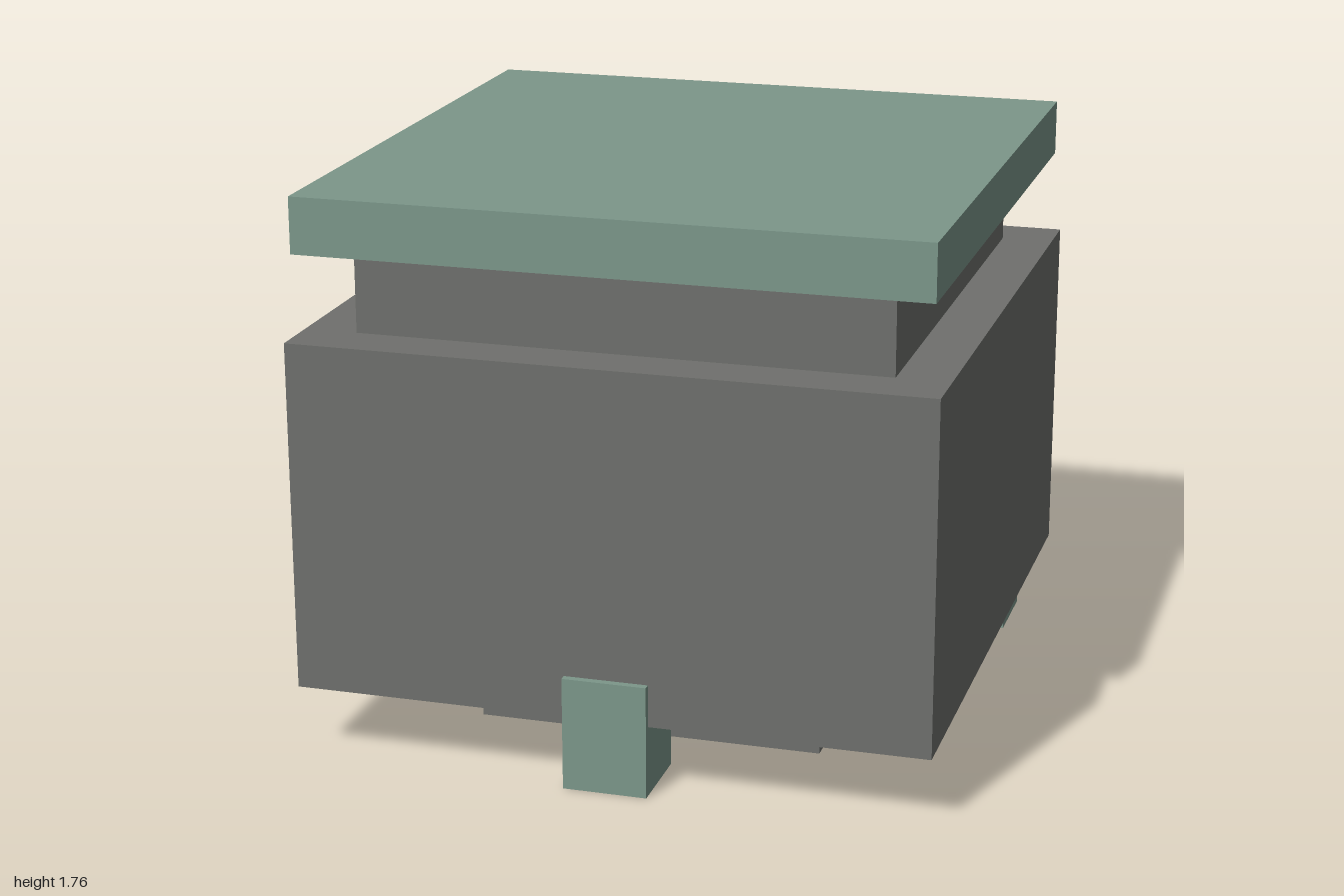
import * as THREE from 'three';

export function createModel() {
  const model = new THREE.Group();
  const sage = new THREE.MeshStandardMaterial({ color: 0x7c978a });
  sage.name = 'sageGreen';
  const grey = new THREE.MeshStandardMaterial({ color: 0x6f706d });
  grey.name = 'darkGrey';

  // Box given by its [min, max] extent on each axis
  function block(name, material, [x0, x1], [y0, y1], [z0, z1]) {
    const mesh = new THREE.Mesh(new THREE.BoxGeometry(x1 - x0, y1 - y0, z1 - z0), material);
    mesh.position.set((x0 + x1) / 2, (y0 + y1) / 2, (z0 + z1) / 2);
    mesh.name = name;
    model.add(mesh);
  }

  // Stacked core: pedestal, main body, recessed neck, overhanging lid
  block('pedestal', grey, [-0.55, 0.55], [0, 0.222], [-0.56, 0.54]);
  block('body', grey, [-0.99, 0.99], [0.222, 1.32], [-1, 0.977]);
  block('neck', grey, [-0.825, 0.825], [1.32, 1.588], [-0.832, 0.814]);
  block('lid', sage, [-0.967, 0.967], [1.588, 1.763], [-0.978, 0.956]);

  // Three feet: a tall one at the front centre, two under the back corners
  block('frontFoot', sage, [-0.131, 0.131], [0, 0.356], [0.737, 1]);
  block('backLeftFoot', sage, [0.638, 0.902], [0, 0.222], [-0.91, -0.646]);
  block('backRightFoot', sage, [-0.902, -0.638], [0, 0.222], [-0.91, -0.646]);

  return model;
}
